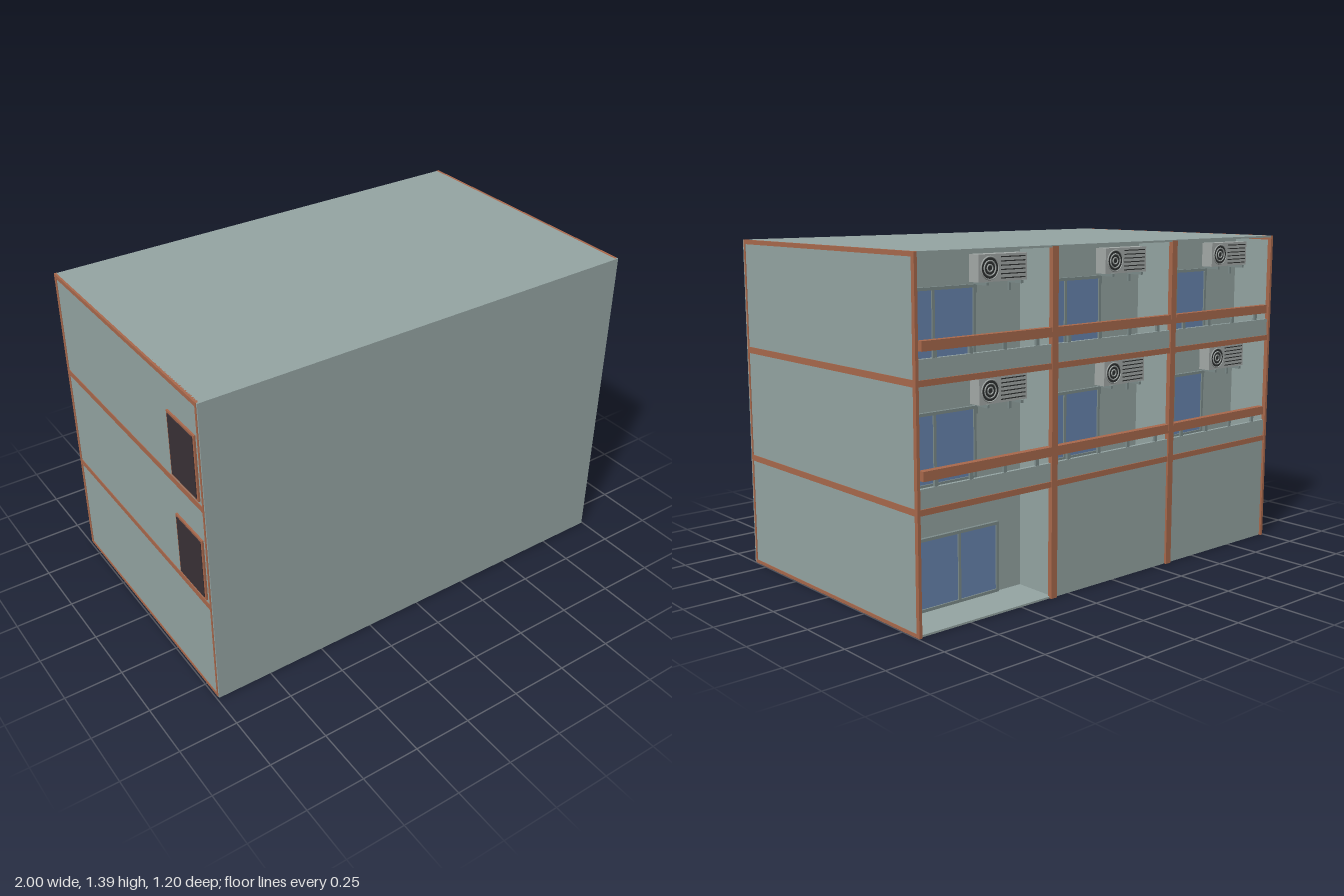
import * as THREE from 'three';

const mat = (name, color) => {
  const m = new THREE.MeshStandardMaterial({ color });
  m.name = name;
  return m;
};

export function createModel() {
  const wall = mat('wall grey green', 0x95a5a3);
  const trim = mat('terracotta trim', 0xa9694c);
  const glass = mat('glass blue', 0x6885b0);
  const frame = mat('window frame grey', 0x7d8c8b);
  const dark = mat('dark door', 0x3a3136);
  const unit = mat('air conditioner grey', 0xa4aaa8);
  const black = mat('fan black', 0x2e3131);

  const root = new THREE.Group();
  root.name = 'apartmentBlock';

  // box given by its lower and upper limits on each axis
  const box = (parent, name, m, x0, x1, y0, y1, z0, z1) => {
    const mesh = new THREE.Mesh(new THREE.BoxGeometry(x1 - x0, y1 - y0, z1 - z0), m);
    mesh.position.set((x0 + x1) / 2, (y0 + y1) / 2, (z0 + z1) / 2);
    mesh.name = name;
    parent.add(mesh);
    return mesh;
  };
  const group = (name, parent = root) => {
    const g = new THREE.Group();
    g.name = name;
    parent.add(g);
    return g;
  };

  const H = 1.39, BACK = -0.597, INNER = -0.4;
  const levels = [0, 0.465, 0.93];

  // hollow shell, open underneath
  box(root, 'frontWall', wall, -0.99, 0.996, 0, H, 0.59, 0.597);
  box(root, 'roof', wall, -0.983, 0.985, H - 0.008, H, BACK, 0.597);

  // end walls: thin panel inside a trim frame that stands out on both faces
  const endWall = (name, x0, x1) => {
    const g = group(name);
    const c = (x0 + x1) / 2;
    box(g, 'endPanel', wall, c - 0.004, c + 0.004, 0.002, H - 0.002, -0.59, 0.589);
    for (const [y0, y1] of [[0, 0.014], [0.454, 0.479], [0.918, 0.944], [1.372, H]])
      box(g, 'endBand', trim, x0, x1, y0, y1, -0.582, 0.579);
    box(g, 'endPost', trim, x0, x1, 0, H, -0.6, -0.582);
    box(g, 'endPost', trim, x0, x1, 0, H, 0.579, 0.59);
  };
  endWall('leftEndWall', 0.984, 0.997);
  endWall('rightEndWall', -0.992, -0.979);

  // side doors on the two upper storeys
  for (const y of levels.slice(1)) {
    const g = group('sideDoor');
    box(g, 'doorFrame', trim, -0.997, -0.976, y + 0.03, y + 0.315, 0.36, 0.565);
    box(g, 'doorLeaf', dark, -1, -0.994, y + 0.04, y + 0.305, 0.37, 0.555);
  }

  // sliding glass door against the recessed wall
  const slidingDoor = (parent, x0, x1, y0, y1) => {
    const g = group('slidingDoor', parent);
    const xm = (x0 + x1) / 2, t = 0.012, zf = INNER - 0.014;
    box(g, 'glassPane', glass, x0 + t, x1 - t, y0 + t, y1 - t, INNER - 0.008, INNER - 0.002);
    box(g, 'doorJamb', frame, x0, x0 + t, y0, y1, zf, INNER);
    box(g, 'doorJamb', frame, x1 - t, x1, y0, y1, zf, INNER);
    box(g, 'doorMullion', frame, xm - t / 2, xm + t / 2, y0, y1, zf, INNER);
    box(g, 'doorHead', frame, x0, x1, y1 - t, y1, zf, INNER);
    box(g, 'doorSill', frame, x0, x1, y0, y0 + t, zf, INNER);
  };

  // air conditioner with fan, grille and brackets
  const airConditioner = (parent, x, y) => {
    const g = group('airConditioner', parent);
    g.position.set(x, y, INNER);
    box(g, 'unitCase', unit, -0.12, 0.12, -0.052, 0.052, -0.068, -0.012);
    const disc = new THREE.Mesh(new THREE.CylinderGeometry(0.043, 0.043, 0.004, 24), black);
    disc.rotation.x = Math.PI / 2;
    disc.position.set(0.068, 0, -0.069);
    disc.name = 'fanOpening';
    g.add(disc);
    for (const r of [0.043, 0.028, 0.013]) {
      const ring = new THREE.Mesh(new THREE.TorusGeometry(r, 0.003, 6, 24), unit);
      ring.position.set(0.068, 0, -0.072);
      ring.name = 'fanRing';
      g.add(ring);
    }
    for (let i = 0; i < 6; i++) {
      const yy = -0.04 + i * 0.016;
      box(g, 'grilleSlot', black, -0.11, 0.012, yy - 0.002, yy + 0.002, -0.07, -0.067);
    }
    for (const bx of [-0.085, 0.085]) {
      box(g, 'bracketArm', frame, bx - 0.006, bx + 0.006, -0.064, -0.052, -0.08, 0);
      box(g, 'bracketLeg', frame, bx - 0.006, bx + 0.006, -0.095, -0.052, -0.008, 0);
    }
  };

  // three bays across the back
  const edges = [0.985, 0.336, -0.336, -0.98];
  for (let b = 0; b < 3; b++) {
    const left = edges[b], right = edges[b + 1];
    const origin = 1 - b * 0.668;
    const bay = group('bay');

    levels.forEach((y, s) => {
      const top = s < 2 ? levels[s + 1] : H;
      if (s === 0 && b > 0) {
        box(bay, 'groundPanel', wall, right, left, 0, 0.455, -0.59, -0.582);
        return;
      }
      box(bay, 'recessWall', wall, right, left, y, top - 0.004, INNER, INNER + 0.008);
      box(bay, 'recessFloor', wall, right, left, s ? y - 0.01 : 0, s ? y + 0.01 : 0.008, -0.59, INNER);
      if (s === 0) {
        slidingDoor(bay, 0.465, 0.86, 0.01, 0.3);
        return;
      }
      slidingDoor(bay, origin - 0.425, origin - 0.025, y + 0.03, y + 0.315);
      airConditioner(bay, origin - 0.515, y + 0.377);
      // parapet with raised handrail
      box(bay, 'parapet', wall, right, left, y + 0.01, y + 0.085, -0.592, -0.578);
      box(bay, 'handrail', trim, right + 0.016, left - 0.016, y + 0.113, y + 0.15, -0.6, -0.572);
      for (let i = 0; i < 4; i++) {
        const x = right + (left - right) * (i + 0.5) / 4;
        box(bay, 'railSupport', frame, x - 0.008, x + 0.008, y + 0.085, y + 0.113, -0.59, -0.58);
      }
    });

    // slab edges
    for (const y of levels.slice(1))
      box(bay, 'slabEdge', trim, right, left, y - 0.011, y + 0.012, BACK, -0.582);
  }

  // partitions between bays, faced with trim posts
  for (const x of edges.slice(1, 3)) {
    box(root, 'partition', wall, x - 0.006, x + 0.006, x > 0 ? 0 : 0.465, H - 0.004, -0.585, INNER + 0.008);
    box(root, 'backPost', trim, x - 0.015, x + 0.015, 0, H - 0.003, -0.6, -0.58);
  }

  return root;
}
